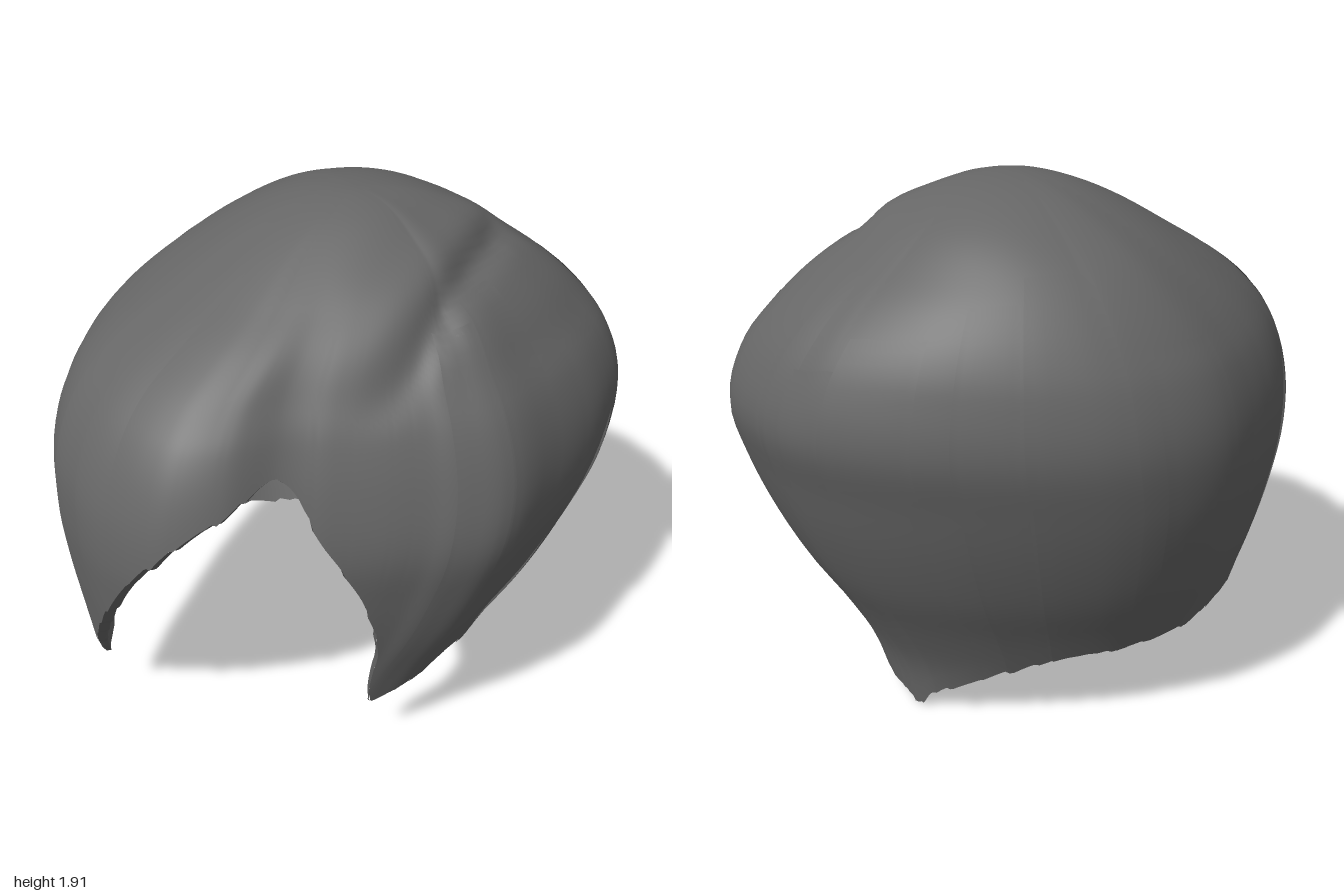
import * as THREE from 'three';

const TOP = 1.91;
const { smoothstep, lerp, clamp } = THREE.MathUtils;

// Horizontal outline [u, hem height, w]; u and w are scaled to the width and depth at each height
const outline = new THREE.CatmullRomCurve3([
  [0.61, 1.30, 0.58], [0.57, 1.23, 0.75], [0.47, 1.13, 0.88], [0.36, 1.02, 0.94],
  [0.13, 0.75, 0.99], [-0.07, 0.55, 0.98], [-0.25, 0.40, 0.95], [-0.43, 0.25, 0.87],
  [-0.63, 0.31, 0.73], [-0.81, 0.35, 0.52], [-0.93, 0.36, 0.28], [-1.00, 0.36, 0.02],
  [-0.94, 0.35, -0.27], [-0.78, 0.33, -0.50], [-0.60, 0.28, -0.67], [-0.38, 0.19, -0.83],
  [-0.10, 0.10, -0.96], [0.05, 0.02, -0.99], [0.18, 0.04, -1.00], [0.42, 0.08, -0.98],
  [0.63, 0.14, -0.90], [0.81, 0.22, -0.66], [0.94, 0.31, -0.32], [1.00, 0.31, -0.09],
  [0.95, 0.26, 0.05], [0.88, 0.55, 0.16], [0.81, 0.80, 0.28], [0.71, 1.06, 0.43],
].map((p) => new THREE.Vector3(...p)), true);

// Extents at each height: y, xMin, xMax, zMin, zMax
const levels = [
  [1.91, 0, 0, -0.1, -0.1],
  [1.88, -0.23, 0.17, -0.32, 0.08],
  [1.80, -0.42, 0.32, -0.50, 0.27],
  [1.70, -0.57, 0.47, -0.64, 0.45],
  [1.60, -0.67, 0.58, -0.77, 0.63],
  [1.50, -0.745, 0.66, -0.87, 0.78],
  [1.40, -0.80, 0.74, -0.935, 0.88],
  [1.20, -0.845, 0.82, -0.985, 0.975],
  [1.00, -0.83, 0.84, -0.93, 1.00],
  [0.80, -0.78, 0.79, -0.86, 0.99],
  [0.60, -0.71, 0.72, -0.77, 0.97],
  [0.40, -0.62, 0.63, -0.655, 0.95],
  [0.20, -0.54, 0.55, -0.56, 0.93],
  [-0.05, -0.44, 0.45, -0.51, 0.88],
];
const extents = new THREE.CubicInterpolant(
  levels.map((l) => Math.sqrt(TOP - l[0])), levels.flatMap((l) => l.slice(1)), 4);

// Parting line: x as a function of z
const parting = new THREE.CubicInterpolant(
  [-0.5, -0.35, -0.15, 0.1, 0.35, 0.6], [0.27, 0.35, 0.45, 0.54, 0.55, 0.5], 1);

// Small saw-tooth drop that makes the hem ragged
const jag = (c) => 0.022 * ((c * 43) % 1) * ((c * 17 + 0.3) % 1);

// Point on the hair: c runs round the head, v from crown to hem, lift raises it
function hairPoint(c, v, lift = 0) {
  c = ((c % 1) + 1) % 1;
  const o = outline.getPoint(c);
  const q = v * Math.sqrt(TOP - Math.max(0, o.y - jag(c)));
  const [x0, x1, z0, z1] = extents.evaluate(q);
  // the crown is rounder than the lower outline
  const round = lerp(Math.max(1, 0.97 / Math.hypot(o.x, o.z)), 1, smoothstep(q, 0.3, 0.78));
  const p = new THREE.Vector3(
    (x0 + x1) / 2 + round * o.x * (x1 - x0) / 2, TOP - q * q,
    (z0 + z1) / 2 + round * o.z * (z1 - z0) / 2);
  // groove at the parting, deepest at the crown whorl
  const s = p.x - parting.evaluate(clamp(p.z, -0.5, 0.6))[0];
  const fade = smoothstep(p.z, -0.62, -0.42) * (1 - smoothstep(p.z, -0.1, 0.45)) * smoothstep(p.y, 1.35, 1.55);
  const groove = fade * (0.012 * Math.exp(-(((s + 0.1) / 0.08) ** 2)) - 0.035 * Math.exp(-((s / 0.05) ** 2)));
  const out = p.clone().sub(new THREE.Vector3(0, 0.9, 0)).normalize();
  return p.addScaledVector(out, lift + groove);
}

// Grid surface from a point function of (a, b), each 0 to 1
function sheet(cols, rows, fn, closed = false) {
  const pos = [], index = [];
  const n = closed ? cols : cols + 1;
  for (let j = 0; j <= rows; j++)
    for (let i = 0; i < n; i++) pos.push(...fn(i / cols, j / rows).toArray());
  for (let j = 0; j < rows; j++)
    for (let i = 0; i < cols; i++) {
      const a = j * n + i, b = j * n + ((i + 1) % n);
      index.push(a, b, a + n, b, b + n, a + n);
    }
  const g = new THREE.BufferGeometry();
  g.setAttribute('position', new THREE.Float32BufferAttribute(pos, 3));
  g.setIndex(index);
  g.computeVertexNormals();
  return g;
}

export function createModel() {
  const group = new THREE.Group();
  const hair = new THREE.MeshStandardMaterial({ color: 0x666666, side: THREE.DoubleSide });
  hair.name = 'hairGrey';
  const add = (name, geometry) => {
    const m = new THREE.Mesh(geometry, hair);
    m.name = name;
    group.add(m);
  };

  // Main shell with the face opening formed by its raised hem
  add('hairShell', sheet(280, 64, (a, b) => hairPoint(a, b), true));

  // Edges turned inward along the face opening
  const rolled = (c0, c1, depth) => sheet(60, 5, (a, b) => {
    const p = hairPoint(c0 + (c1 - c0) * a, 1);
    const inward = new THREE.Vector3(-p.x, 0, -p.z).normalize();
    const amount = depth * Math.sin(Math.PI * a) ** 0.5;
    p.addScaledVector(inward, amount * Math.sin(b * Math.PI / 2));
    p.y -= 0.3 * amount * Math.sin(b * Math.PI);
    return p;
  });
  add('sweptFringeEdge', rolled(0, 7 / 28, 0.05));
  add('sidePanelEdge', rolled(24 / 28, 1, 0.04));

  // Lining behind the swept fringe, narrowing to the fringe tip
  add('fringeLining', sheet(40, 32, (a, b) => {
    const v = 0.6 + 0.395 * b;
    const end = 0.33 - 0.08 * clamp((v - 0.9) / 0.095, 0, 1);
    return hairPoint(0.01 + (end - 0.01) * a, v, -0.045 * Math.sin(Math.PI * (0.15 + 0.8 * b)));
  }));

  // Thin overlapping locks, each raised along one side
  const starts = [0.13, 0.165, 0.2, 0.235, 0.27, 0.3, 0.335, 0.38, 0.43, 0.48, 0.53, 0.57, 0.61, 0.65, 0.69, 0.735, 0.78, 0.82];
  starts.forEach((c, k) => {
    const width = 0.032 + 0.008 * (k % 3), v0 = 0.36 + 0.05 * (k % 4);
    add('hairLock', sheet(8, 28, (a, b) => {
      const lift = 0.001 + 0.01 * a * Math.sin(Math.PI * Math.min(1, b * 0.9 + 0.02));
      return hairPoint(c + width * a, v0 + (1 - v0) * b, lift);
    }));
  });
  return group;
}
